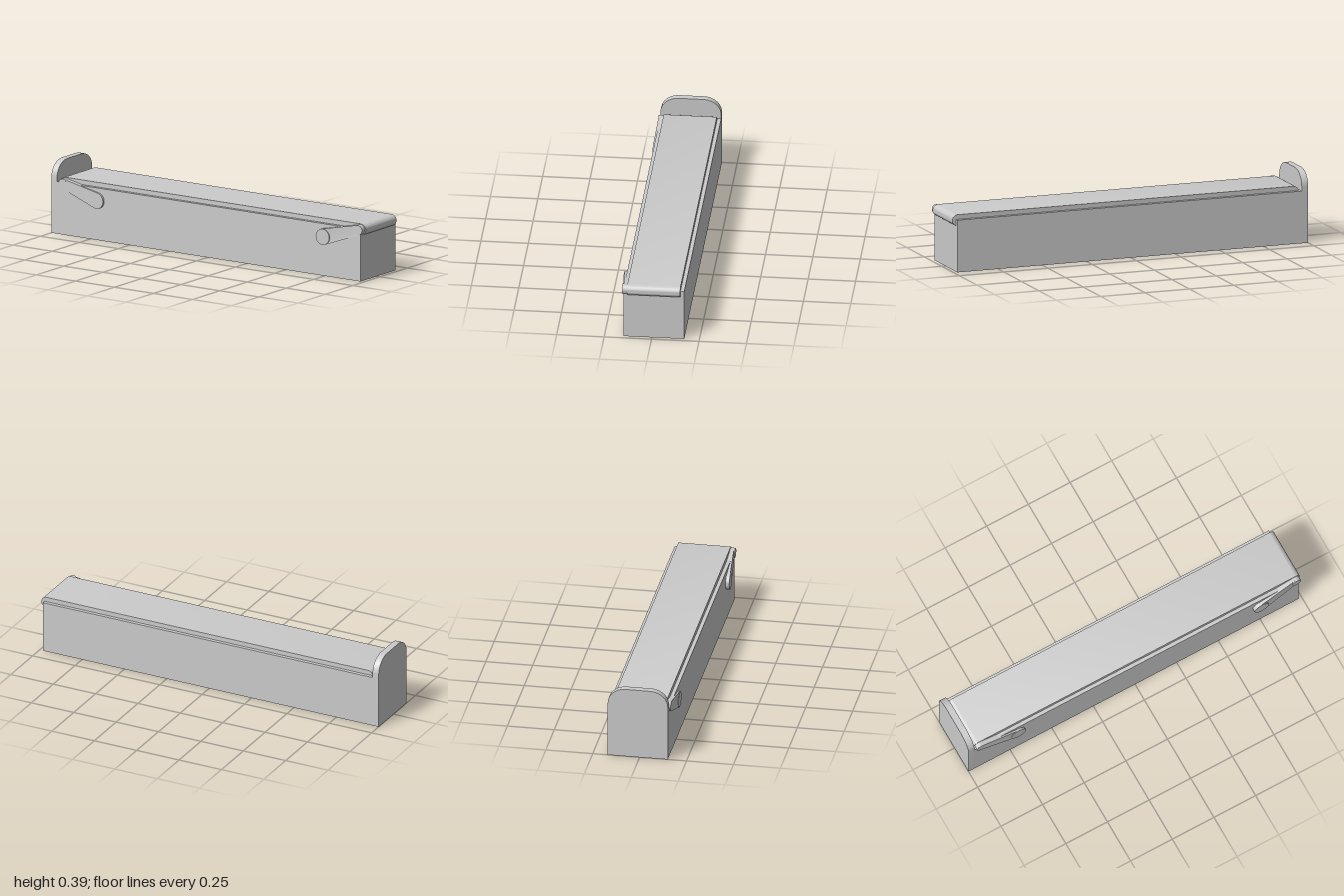
import * as THREE from 'three';
import { toCreasedNormals } from 'three/addons/utils/BufferGeometryUtils.js';

const material = new THREE.MeshStandardMaterial({ color: 0xcccccc });

function part(name, geometry, x = 0, y = 0, z = 0) {
  const mesh = new THREE.Mesh(geometry, material);
  mesh.name = name;
  mesh.position.set(x, y, z);
  return mesh;
}

// Cylinder lying along z, spanning z0..z1
function pin(name, r, x, y, z0, z1) {
  const geometry = new THREE.CylinderGeometry(r, r, z1 - z0, 24).rotateX(Math.PI / 2);
  return part(name, geometry, x, y, (z0 + z1) / 2);
}

// Outline wrapped around two circles: radius R at the origin, r at (d, 0)
function wrapShape(R, r, d) {
  const a = Math.acos((R - r) / d);
  const s = new THREE.Shape();
  s.absarc(0, 0, R, a, 2 * Math.PI - a, false);
  s.absarc(d, 0, r, -a, a, false);
  s.closePath();
  return s;
}

function extrude(shape, depth) {
  return new THREE.ExtrudeGeometry(shape, { depth, bevelEnabled: false, curveSegments: 12 });
}

// Lever from a big disc to a small pivot, its front face sloping between them
function lever(name, big, small, zBig, zSmall) {
  const R = 0.043, r = 0.026, back = 0.13;
  const dx = small[0] - big[0], dy = small[1] - big[1];
  const d = Math.hypot(dx, dy);
  const geometry = extrude(wrapShape(R, r, d), 1);
  const p = geometry.attributes.position;
  for (let i = 0; i < p.count; i++) {
    const front = zBig + (zSmall - zBig) * p.getX(i) / d;
    p.setZ(i, p.getZ(i) > 0.5 ? Math.min(front, zBig) : back);
  }
  geometry.rotateZ(Math.atan2(dy, dx));
  const group = new THREE.Group();
  group.name = name;
  group.add(
    part('leverArm', toCreasedNormals(geometry, 0.6), big[0], big[1], 0),
    pin('leverDisc', R, big[0], big[1], back, zBig + 0.001),
    pin('leverPivot', r, small[0], small[1], back - 0.01, 0.156)
  );
  return group;
}

export function createModel() {
  const model = new THREE.Group();

  // Long solid base
  model.add(part('base', new THREE.BoxGeometry(1.98, 0.28, 0.32), -0.01, 0.14, -0.01));

  // Upright end plate with rounded top corners
  const plate = new THREE.Shape();
  plate.moveTo(-0.16, 0);
  plate.lineTo(0.16, 0);
  plate.lineTo(0.16, 0.303);
  plate.absellipse(0.065, 0.303, 0.095, 0.085, 0, Math.PI / 2, false);
  plate.absellipse(-0.065, 0.303, 0.095, 0.085, Math.PI / 2, Math.PI, false);
  plate.closePath();
  const plateGeometry = new THREE.ExtrudeGeometry(plate, { depth: 0.036, bevelEnabled: false, curveSegments: 5 });
  plateGeometry.rotateY(Math.PI / 2);
  model.add(part('endPlate', toCreasedNormals(plateGeometry, 0.6), -1, 0, -0.01));

  // Belt looped around the two end rollers
  const belt = extrude(wrapShape(0.03, 0.03, 1.895), 0.28);
  model.add(part('belt', toCreasedNormals(belt, 0.6), -0.925, 0.275, -0.15));

  // Levers on the front side
  model.add(
    lever('rightLever', [-0.705, 0.213], [-0.925, 0.275], 0.161, 0.155),
    lever('leftLever', [0.75, 0.213], [0.968, 0.275], 0.169, 0.15)
  );
  return model;
}
